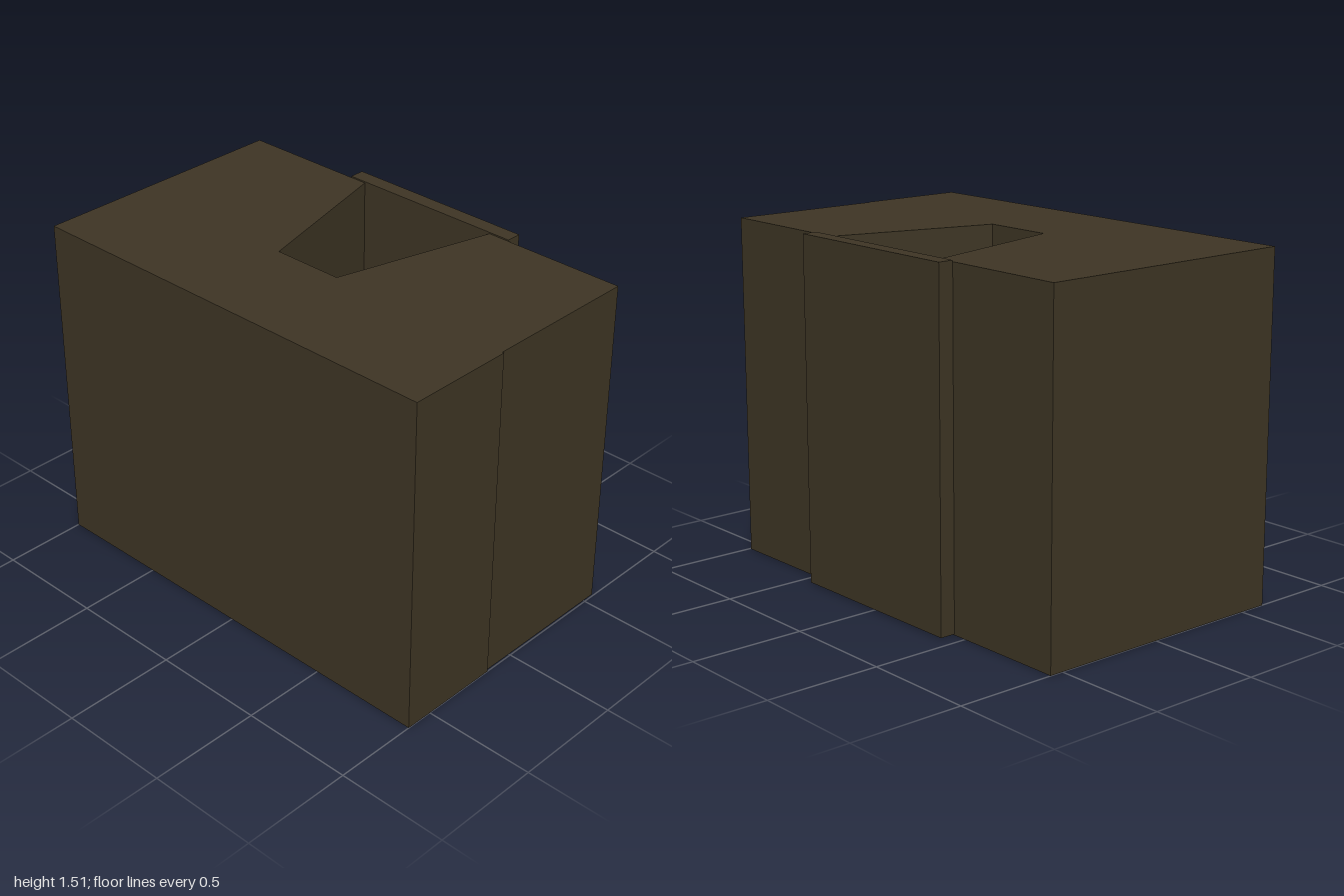
import * as THREE from 'three';

export function createModel() {
  const group = new THREE.Group();
  const darkBrown = new THREE.MeshStandardMaterial({ color: 0x3e3524 });
  darkBrown.name = 'darkBrown';

  // Floor plan in [x, z], raised from y = bottom to y = top
  function addPrism(name, plan, bottom, top) {
    const shape = new THREE.Shape(plan.map(([x, z]) => new THREE.Vector2(x, -z)));
    const geometry = new THREE.ExtrudeGeometry(shape, { depth: top - bottom, bevelEnabled: false });
    geometry.rotateX(-Math.PI / 2).translate(0, bottom, 0);
    const mesh = new THREE.Mesh(geometry, darkBrown);
    mesh.name = name;
    group.add(mesh);
  }

  // Block with a tapered shaft open at the back, and a tiny step on its left side
  addPrism('body', [
    [-1, 0.625], [1, 0.625], [1, 0.145], [0.992, 0.145], [0.992, -0.56],
    [0.34, -0.56], [0.15, 0.145], [-0.17, 0.145], [-0.355, -0.56], [-1, -0.56],
  ], 0, 1.5);

  // Thin slab closing the shaft, standing slightly above the block
  addPrism('backPanel', [
    [-0.435, -0.56], [0.44, -0.56], [0.44, -0.628], [-0.435, -0.628],
  ], 0.004, 1.506);

  return group;
}
